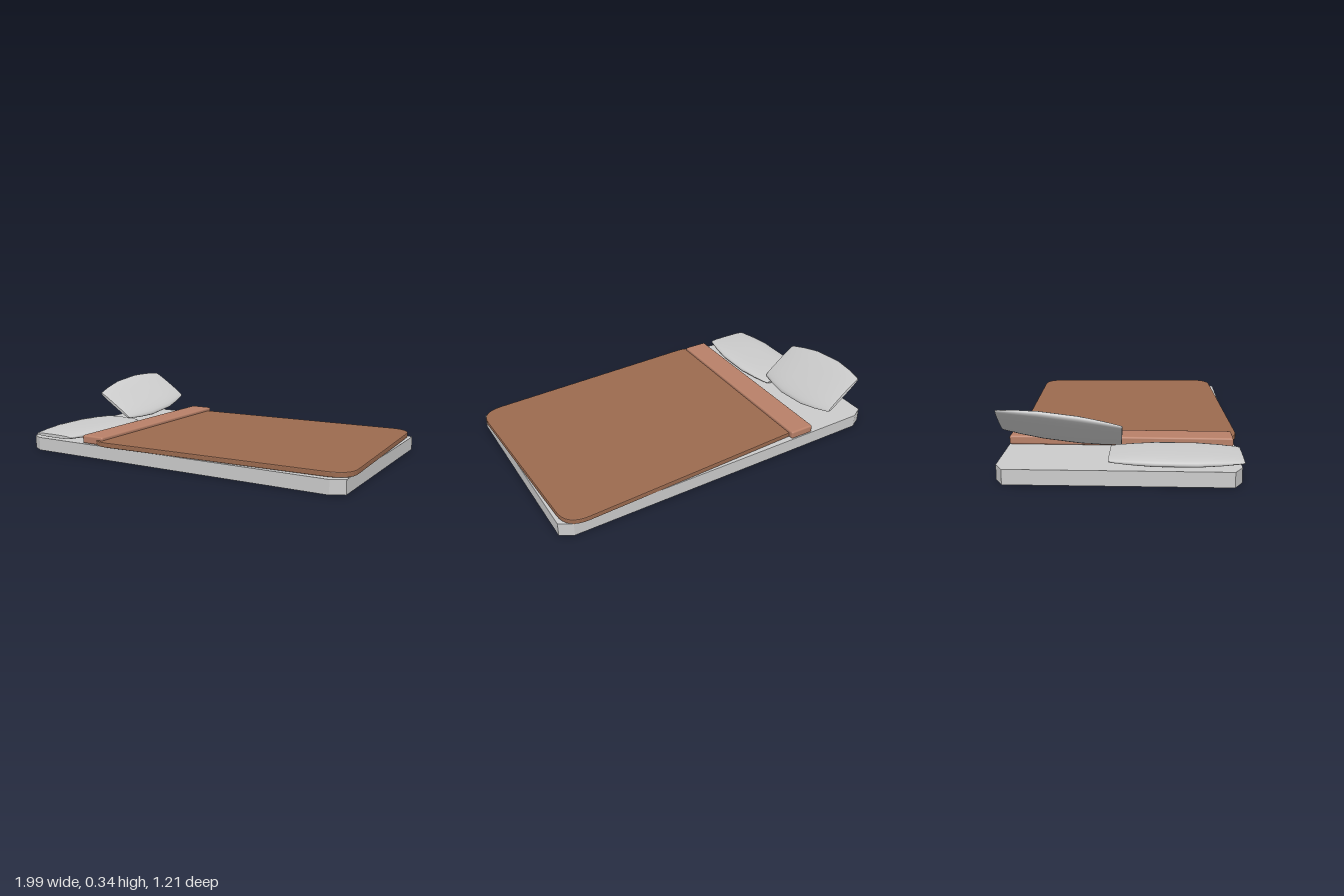
import * as THREE from 'three';
import { RoundedBoxGeometry } from 'three/addons/geometries/RoundedBoxGeometry.js';

const grey = new THREE.MeshStandardMaterial({ color: 0xcccccc });
const brown = new THREE.MeshStandardMaterial({ color: 0x9b6a4f });
const lightBrown = new THREE.MeshStandardMaterial({ color: 0xb88068 });

function part(name, geometry, material, x, y, z) {
  const mesh = new THREE.Mesh(geometry, material);
  mesh.name = name;
  mesh.position.set(x, y, z);
  return mesh;
}

// Flat slab with cut or rounded corners, lying on y = 0
function slab(hx, hz, cx, cz, height, round, bevel) {
  const s = new THREE.Shape();
  const corners = [[1, 1], [-1, 1], [-1, -1], [1, -1]];
  corners.forEach(([sx, sz], i) => {
    const alongX = [sx * (hx - cx), sz * hz];
    const alongZ = [sx * hx, sz * (hz - cz)];
    const [a, b] = i % 2 ? [alongX, alongZ] : [alongZ, alongX];
    if (i) s.lineTo(...a); else s.moveTo(...a);
    if (round) s.quadraticCurveTo(sx * hx, sz * hz, ...b); else s.lineTo(...b);
  });
  s.closePath();
  const g = new THREE.ExtrudeGeometry(s, {
    depth: height - 2 * bevel, bevelEnabled: bevel > 0, bevelSize: bevel,
    bevelThickness: bevel, bevelOffset: -bevel, bevelSegments: 2, curveSegments: 8,
  });
  return g.rotateX(-Math.PI / 2).translate(0, bevel, 0);
}

// Pillow: lens-shaped sections swept along z, with flat thin ends
function pillowGeometry() {
  const stations = [ // z, half width, half height
    [-0.322, 0.128, 0.009], [-0.31, 0.134, 0.013], [-0.22, 0.155, 0.02], [-0.1, 0.174, 0.025],
    [0.1, 0.174, 0.025], [0.22, 0.155, 0.02], [0.31, 0.134, 0.013], [0.322, 0.128, 0.009],
  ];
  const n = 24, pos = [], index = [];
  const ring = ([z, w, h]) => {
    for (let i = 0; i < n; i++) {
      const a = (i / n) * Math.PI * 2, c = Math.cos(a), s = Math.sin(a);
      pos.push(w * Math.sign(c) * Math.abs(c) ** 0.75, h * Math.sign(s) * Math.abs(s) ** 0.75, z);
    }
  };
  stations.forEach(ring);
  for (let j = 0; j < stations.length - 1; j++) {
    for (let i = 0; i < n; i++) {
      const a = j * n + i, b = j * n + (i + 1) % n;
      index.push(a, b, b + n, a, b + n, a + n);
    }
  }
  // End caps on their own vertices keep the rim crisp
  for (const end of [0, stations.length - 1]) {
    const base = pos.length / 3;
    ring(stations[end]);
    for (let i = 1; i < n - 1; i++) {
      if (end) index.push(base, base + i, base + i + 1);
      else index.push(base, base + i + 1, base + i);
    }
  }
  const g = new THREE.BufferGeometry();
  g.setAttribute('position', new THREE.Float32BufferAttribute(pos, 3));
  g.setIndex(index);
  g.computeVertexNormals();
  return g;
}

export function createModel() {
  const group = new THREE.Group();
  group.name = 'bedding';

  // Mattress with cut corners
  group.add(part('mattress', slab(0.988, 0.585, 0.07, 0.04, 0.076, false, 0), grey, -0.012, 0, 0));

  // Blanket lying slightly askew
  const blanket = part('blanket', slab(0.765, 0.58, 0.13, 0.12, 0.028, true, 0.005), brown, 0.212, 0.077, 0);
  blanket.rotation.y = 0.039;
  group.add(blanket);

  // Folded-back edge of the blanket
  const fold = part('blanketFold', new RoundedBoxGeometry(0.145, 0.047, 1.16, 3, 0.01), lightBrown, -0.528, 0.1005, -0.004);
  fold.rotation.y = -0.006;
  group.add(fold);

  // One pillow flat, the other propped on it
  const pillow = pillowGeometry();
  group.add(part('flatPillow', pillow, grey, -0.81, 0.1, 0.273));
  const propped = part('proppedPillow', pillow, grey, -0.812, 0.228, -0.288);
  propped.rotation.set(0.115, -0.02, -0.61, 'YXZ');
  propped.scale.z = 0.94;
  group.add(propped);

  return group;
}
